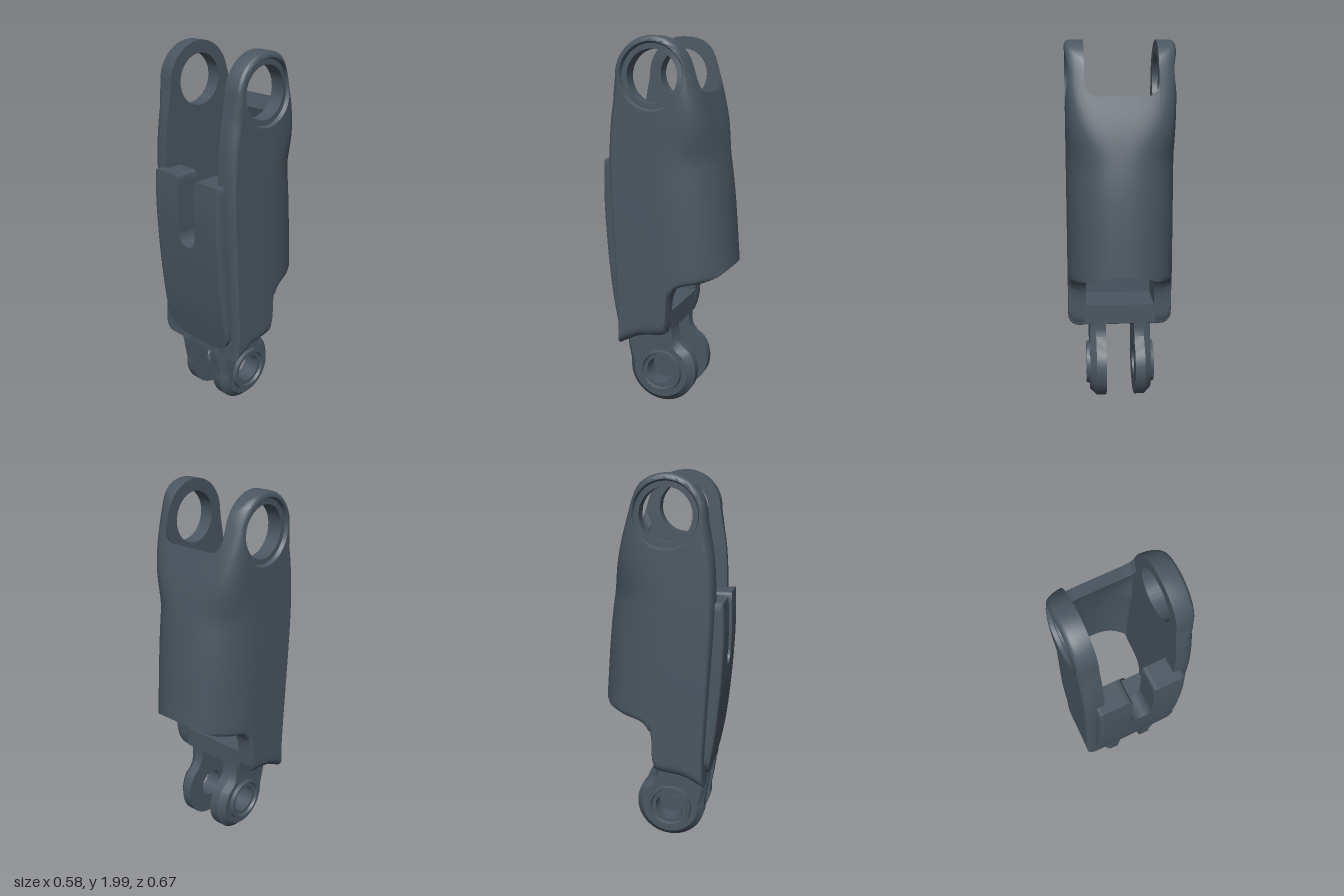
import * as THREE from 'three';
import { toCreasedNormals } from 'three/addons/utils/BufferGeometryUtils.js';

const material = new THREE.MeshStandardMaterial({ color: 0x4a5661 });
const lerp = THREE.MathUtils.lerp;
const smooth = THREE.MathUtils.smoothstep;
const WALL_IN = 0.19, WALL_OUT = 0.29, ZC = 0.05;

// Smooth lookup through a short table of [y, value] pairs
function lookup(table) {
  const slope = (i) => {
    const a = table[Math.max(i - 1, 0)], b = table[Math.min(i + 1, table.length - 1)];
    return (b[1] - a[1]) / (b[0] - a[0]);
  };
  return (y) => {
    if (y <= table[0][0]) return table[0][1];
    for (let i = 0; i < table.length - 1; i++) {
      const [y0, a] = table[i], [y1, b] = table[i + 1];
      if (y > y1) continue;
      const h = y1 - y0, t = (y - y0) / h, u = 1 - t;
      return a * (1 + 2 * t) * u * u + slope(i) * h * t * u * u
        + b * t * t * (3 - 2 * t) - slope(i + 1) * h * t * t * u;
    }
    return table[table.length - 1][1];
  };
}

// Skin a row of closed rings; faces are turned outward by signed volume
function loft(rings, wrap) {
  const n = rings.length, m = rings[0].length, pts = rings.flat(), index = [];
  for (let i = 0; i < (wrap ? n : n - 1); i++) {
    for (let j = 0; j < m; j++) {
      const k = (i + 1) % n, l = (j + 1) % m;
      const a = i * m + j, b = k * m + j, c = k * m + l, d = i * m + l;
      index.push(a, b, c, a, c, d);
    }
  }
  let volume = 0;
  const v = pts.map((p) => new THREE.Vector3(...p));
  for (let i = 0; i < index.length; i += 3) {
    volume += v[index[i]].dot(v[index[i + 1]].clone().cross(v[index[i + 2]]));
  }
  if (volume < 0) index.reverse();
  const geo = new THREE.BufferGeometry();
  geo.setAttribute('position', new THREE.Float32BufferAttribute(pts.flat(), 3));
  geo.setIndex(index);
  return toCreasedNormals(geo, 0.6);
}

// Plate around a round hole: rows(R, z, y) gives [radius, x] from hole to rim and back
function holedPlate(center, outline, side, rows) {
  const [cz, cy] = center;
  return loft(outline.map(([z, y]) => {
    const R = Math.hypot(z - cz, y - cy), dz = (z - cz) / R, dy = (y - cy) / R;
    return rows(R, z, y, dz, dy).map(([r, x]) => [side * x, cy + dy * r, cz + dz * r]);
  }), true);
}

// Curved panel spanning x0..x1 with free top and bottom edges
function panel(x0, x1, low, high, zOut, zIn, drop = 0, nx = 28, nv = 28) {
  const ring = (x, cap) => {
    const out = [], back = [];
    for (let j = 0; j <= nv; j++) {
      const ya = lerp(low(x), high(x), j / nv), yb = lerp(low(x), high(x) - drop, j / nv);
      const a = [x, ya, zOut(x, ya)], b = [x, yb, zIn(x, yb)];
      const mid = a.map((v, k) => (v + b[k]) / 2);
      out.push(cap ? mid : a);
      back.unshift(cap ? mid : b);
    }
    return out.concat(back);
  };
  const rings = [ring(x0, true)];
  for (let i = 0; i <= nx; i++) rings.push(ring(lerp(x0, x1, i / nx), false));
  rings.push(ring(x1, true));
  return loft(rings, false);
}

// Shell envelope: back edge, front edge, and squareness of the section by height
const backZ = lookup([[0.76, -0.335], [0.81, -0.333], [1.23, -0.296], [1.5, -0.25], [1.72, -0.19], [1.84, -0.155], [2, -0.1]]);
const frontZ = lookup([[0.36, 0.25], [0.5, 0.247], [0.8, 0.262], [1.2, 0.285], [1.4, 0.29], [1.6, 0.278], [1.78, 0.247]]);
const plateZ = lookup([[0.36, 0.25], [0.42, 0.262], [0.6, 0.295], [0.8, 0.318], [1, 0.333], [1.2, 0.34], [1.37, 0.334]]);
const power = (y) => lerp(2.4, 6, smooth(y, 1.35, 1.8));

function shellX(z, y) {
  const n = power(y), t = Math.min(Math.max(0, (ZC - z) / (ZC - backZ(y))), 1);
  return Math.max(WALL_IN, WALL_OUT * (1 - t ** n) ** (1 / n));
}
function shellZ(x, y) {
  const n = power(y);
  return ZC - (ZC - backZ(y)) * (1 - (Math.abs(x) / WALL_OUT) ** n) ** (1 / n);
}

// Side silhouette of one wall as [z, y] points
function wallOutline() {
  const pts = [];
  for (let i = 0; i <= 32; i++) {
    const a = THREE.MathUtils.degToRad(lerp(5, 165, i / 32));
    pts.push([0.045 + 0.2 * Math.cos(a), 1.8 + 0.2 * Math.sin(a)]);
  }
  for (let i = 0; i < 28; i++) {
    const y = lerp(1.8, 0.765, i / 28);
    pts.push([shellZ(WALL_IN, y), y]);
  }
  const cut = [[-0.267, 0.765], [-0.2, 0.74], [-0.1, 0.72], [-0.055, 0.68], [-0.034, 0.61], [-0.03, 0.5],
    [-0.02, 0.46], [0, 0.437], [0.14, 0.415], [0.25, 0.36]];
  const curve = new THREE.SplineCurve(cut.map((p) => new THREE.Vector2(...p)));
  curve.getPoints(40).forEach((p) => pts.push([p.x, p.y]));
  for (let i = 1; i <= 28; i++) {
    const y = lerp(0.36, 1.78, i / 28);
    pts.push([frontZ(y), y]);
  }
  return pts;
}

// Side wall with its ear, recessed ring and rounded rim
function wallRows(R, z, y, dz, dy) {
  const hole = 0.135, lip = 0.17;
  const rear = z < -0.05;
  const round = rear ? lerp(0.025, 0.04, smooth(y, 1, 1.8)) : (y < 1.72 ? 0.06 : 0.04);
  const rb = Math.min(round, (R - lip) * 0.95);
  const weight = rear ? Math.max(smooth(y, 1.66, 1.85), 1 - smooth(y, 0.74, 0.77)) : 1;
  const xAt = (r) => shellX(0.045 + dz * r, 1.8 + dy * r);
  const rows = [[hole, WALL_IN], [hole, xAt(hole) - 0.02], [0.162, xAt(0.162) - 0.02]];
  for (let k = 0; k <= 16; k++) {
    const r = lerp(lip, R - rb, 1 - (1 - k / 16) ** 1.5);
    rows.push([r, xAt(r)]);
  }
  for (let k = 1; k <= 6; k++) {
    const a = (k / 6) * Math.PI / 2, r = R - rb * (1 - Math.sin(a));
    rows.push([r, Math.max(WALL_IN, xAt(r) - weight * rb * (1 - Math.cos(a)))]);
  }
  rows.push([R, WALL_IN]);
  return rows;
}

// Side silhouette of one fork lug
function lugOutline() {
  const pts = [];
  for (let i = 0; i <= 40; i++) {
    const a = THREE.MathUtils.degToRad(lerp(142, 368, i / 40));
    pts.push([0.045 + 0.19 * Math.cos(a), 0.195 + 0.19 * Math.sin(a)]);
  }
  pts.push([0.248, 0.3], [0.258, 0.37], [0.22, 0.48], [0.1, 0.48], [-0.03, 0.48], [-0.03, 0.42], [-0.04, 0.375], [-0.068, 0.34]);
  return pts;
}
const lugRows = (R) => [[0.078, 0.08], [0.078, 0.175], [0.098, 0.175], [0.104, 0.19], [0.118, 0.19],
  [0.122, 0.17], [R - 0.035, 0.17], [R, 0.135], [R, 0.08]];

export function createModel() {
  const model = new THREE.Group();
  const add = (name, geometry) => {
    const mesh = new THREE.Mesh(geometry, material);
    mesh.name = name;
    model.add(mesh);
  };

  // Mirrored walls and fork lugs
  for (const [side, label] of [[1, 'left'], [-1, 'right']]) {
    add(label + 'Wall', holedPlate([0.045, 1.8], wallOutline(), side, wallRows));
    add(label + 'ForkLug', holedPlate([0.045, 0.195], lugOutline(), side, lugRows));
  }

  // Rounded back with a saddle at the top and an arched lower edge
  const cutY = lookup([[-0.34, 0.815], [-0.32, 0.8], [-0.28, 0.77], [-0.267, 0.765]]);
  const saddle = (x) => {
    const t = Math.max(0, Math.abs(x) - 0.125);
    return 1.785 - Math.sqrt(Math.max(0, 0.065 ** 2 - t * t));
  };
  add('backShell', panel(-WALL_IN, WALL_IN, (x) => cutY(shellZ(x, 0.8)), saddle,
    shellZ, (x, y) => shellZ(x, y) + 0.05, 0.075));

  // Front plate: two prongs and the bridge under the slot
  const plateLow = (x) => {
    const t = Math.max(0, Math.abs(x) - 0.1);
    return 0.54 - Math.sqrt(Math.max(0, 0.14 ** 2 - t * t));
  };
  const plateTop = (x) => {
    const t = Math.max(0, Math.abs(x) - 0.22, 0.08 - Math.abs(x));
    return 1.35 + Math.sqrt(Math.max(0, 0.02 ** 2 - t * t));
  };
  const plateFront = (x, y) => {
    const t = Math.max(0, Math.abs(x) - 0.22) / 0.02;
    return plateZ(y) - 0.02 * (1 - Math.sqrt(Math.max(0, 1 - t * t)));
  };
  const plateBack = () => 0.2;
  add('frontPlateLeft', panel(0.06, 0.24, plateLow, plateTop, plateFront, plateBack));
  add('frontPlateRight', panel(-0.24, -0.06, plateLow, plateTop, plateFront, plateBack));
  add('frontPlateBridge', panel(-0.06, 0.06, plateLow,
    (x) => 1.05 - Math.sqrt(Math.max(0, 0.0036 - x * x)), plateFront, plateBack));

  // Block joining the walls above the fork
  const profile = new THREE.Shape([[0.03, 0.45], [0.03, 0.56], [-0.21, 0.56], [-0.245, 0.5], [-0.25, 0.36], [-0.14, 0.41], [0, 0.437]]
    .map((p) => new THREE.Vector2(...p)));
  const block = new THREE.ExtrudeGeometry(profile, { depth: 0.4, bevelEnabled: false });
  block.rotateY(Math.PI / 2).translate(-0.2, 0, 0);
  add('lowerBlock', block);
  return model;
}
